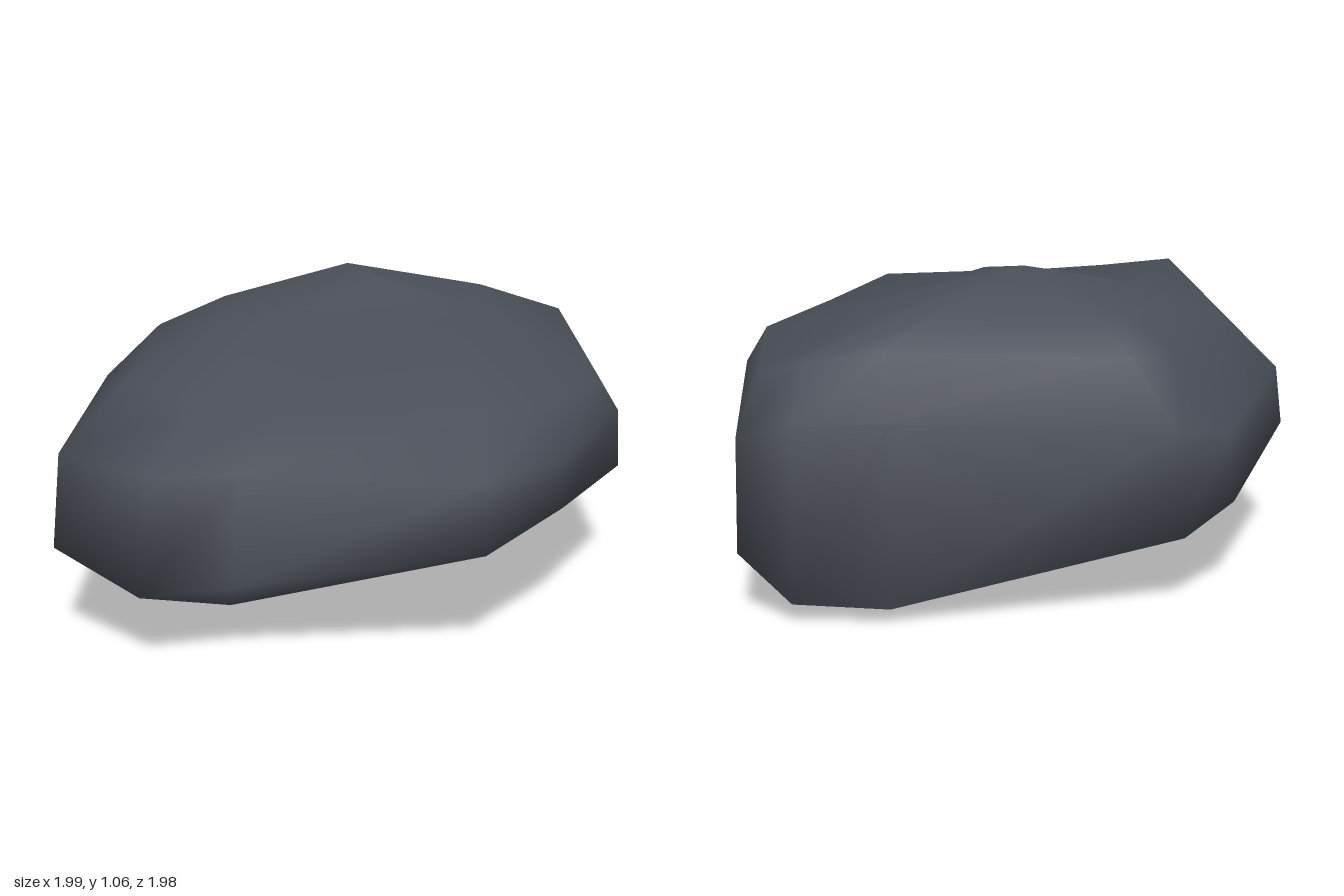
import * as THREE from 'three';

// Plan of the boulder: [x, z] corners, clockwise seen from above, starting back right
const outline = [
  [-0.45, -0.98], [0.5, -0.98], [0.81, -0.95], [0.98, -0.87],
  [0.99, 0.17], [0.7, 0.68], [0.41, 0.99], [-0.4, 0.95],
  [-0.7, 1], [-1, 0.79], [-0.97, -0.27], [-0.65, -0.83],
];

// Cross-sections from the rim up: the plan shifted and scaled, with a height per corner
const sections = [
  { x: 0, z: 0, sx: 1, sz: 1, // lower rim
    y: [0.25, 0.05, 0.07, 0.22, 0.42, 0.45, 0.41, 0.29, 0.28, 0.37, 0.44, 0.32] },
  { x: 0.01, z: -0.015, sx: 0.98, sz: 0.985, // waist
    y: [0.6, 0.66, 0.65, 0.6, 0.63, 0.62, 0.64, 0.66, 0.67, 0.69, 0.65, 0.56] },
  { x: 0.08, z: 0, sx: 0.83, sz: 0.86, // shoulder
    y: [0.82, 0.86, 0.82, 0.79, 0.76, 0.78, 0.84, 0.855, 0.86, 0.91, 0.865, 0.81] },
  { x: 0.03, z: -0.33, sx: 0.53, sz: 0.33, // foot of the crest
    y: [0.93, 0.955, 0.935, 0.925, 0.91, 0.9, 0.9, 0.91, 0.92, 0.93, 0.93, 0.92] },
];

// Keel under the boulder and crest on top, and which of their points each corner runs to
const keel = [[0.1, 0, -0.56], [-0.12, 0.075, -0.06], [-0.42, 0.16, 0.8], [-0.8, 0.28, -0.24]];
const keelEnd = [0, 0, 0, 0, 1, 1, 2, 2, 2, 1, 3, 1];
const crest = [[0, 1.06, -0.42], [0.12, 1.03, -0.24]];
const crestEnd = [0, 0, 0, 0, 1, 1, 1, 1, 0, 0, 0, 0];

function boulderGeometry() {
  const n = outline.length;
  const points = [...keel, ...crest];
  const rings = sections.map((s) => outline.map(([x, z], i) =>
    points.push([s.x + x * s.sx, s.y[i], s.z + z * s.sz]) - 1));
  rings.unshift(keelEnd);
  rings.push(crestEnd.map((k) => keel.length + k));

  // Skin between neighbouring rings, leaving out collapsed triangles
  const index = [];
  const triangle = (a, b, c) => {
    if (a !== b && b !== c && c !== a) index.push(a, b, c);
  };
  for (let r = 0; r < rings.length - 1; r++) {
    for (let i = 0; i < n; i++) {
      const j = (i + 1) % n;
      const [a, b, c, d] = [rings[r][i], rings[r][j], rings[r + 1][i], rings[r + 1][j]];
      triangle(a, c, b);
      triangle(b, c, d);
    }
  }

  const geometry = new THREE.BufferGeometry();
  geometry.setAttribute('position', new THREE.Float32BufferAttribute(points.flat(), 3));
  geometry.setIndex(index);
  geometry.computeVertexNormals(); // smooth, weathered surface
  return geometry;
}

export function createModel() {
  const group = new THREE.Group();
  group.name = 'rock';
  const stone = new THREE.MeshStandardMaterial({ color: 0x4a4f58 });
  stone.name = 'slate grey';
  const boulder = new THREE.Mesh(boulderGeometry(), stone);
  boulder.name = 'boulder';
  group.add(boulder);
  return group;
}
